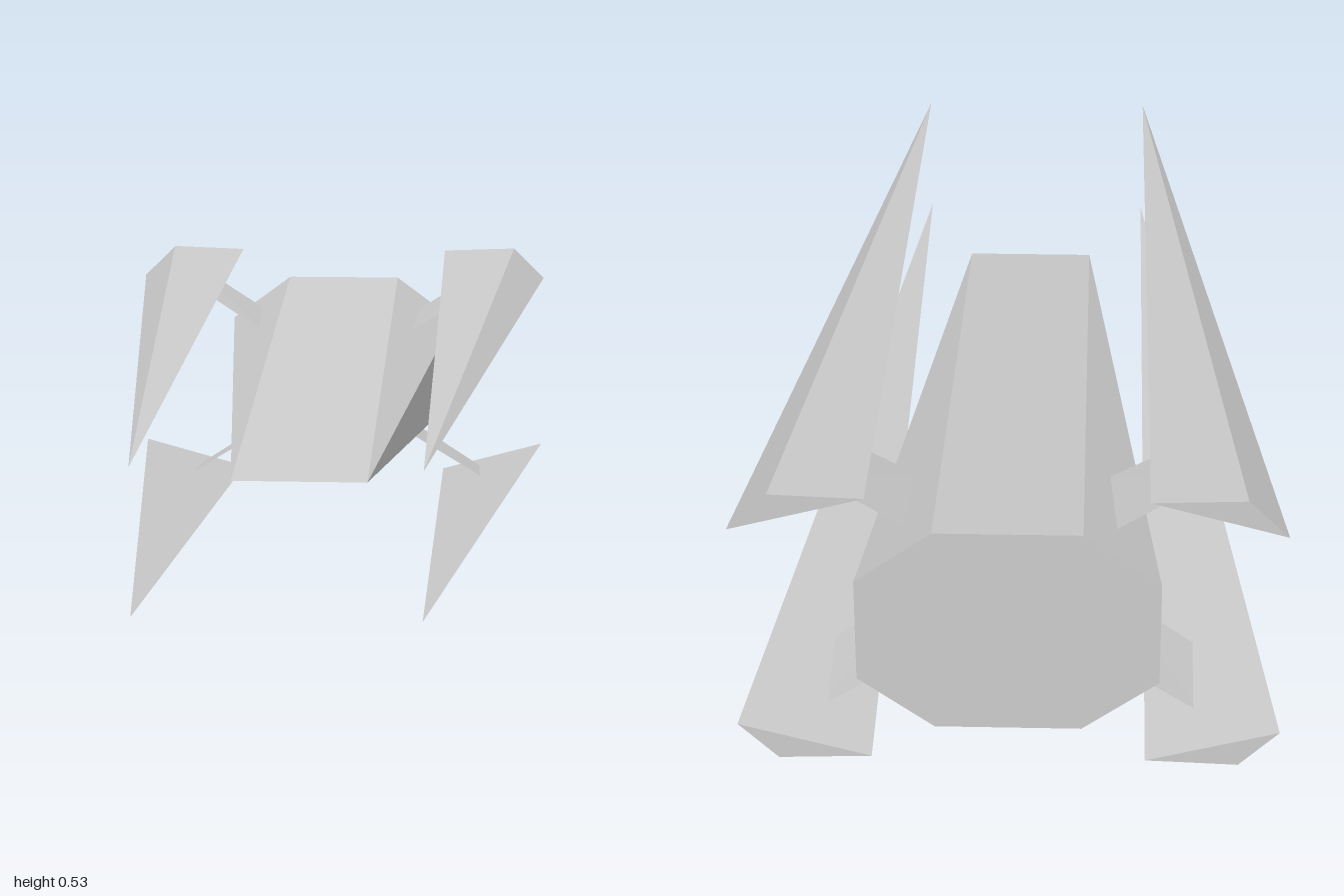
import * as THREE from 'three';
import { ConvexGeometry } from 'three/addons/geometries/ConvexGeometry.js';

const MID_Y = 0.267; // height of the horizontal symmetry plane

export function createModel() {
  const group = new THREE.Group();
  const solidMaterial = new THREE.MeshStandardMaterial({ color: 0xcccccc, flatShading: true });
  const plateMaterial = new THREE.MeshStandardMaterial({
    color: 0xcccccc, flatShading: true, side: THREE.DoubleSide,
  });

  function add(name, geometry, material) {
    const mesh = new THREE.Mesh(geometry, material);
    mesh.name = name;
    group.add(mesh);
  }

  // Place a point, given relative to the symmetry plane, in one of the four quadrants
  const place = ([x, y, z], sx, sy) => new THREE.Vector3(x * sx, MID_Y + y * sy, z);

  // Profiles of the upper quadrant with positive x: [x, height above mid plane, z]
  const hullPoints = [[0.127, 0.196, -1], [0.26, 0.098, -1], [0.127, 0, 0.47]];
  const spikePoints = [[0.238, 0.261, -1], [0.4, 0.267, -1], [0.47, 0.198, -1], [0.245, 0.128, 1]];
  const strutPoints = [
    [0.165, 0.114, -0.673], [0.345, 0.228, -0.7],
    [0.345, 0.243, -0.885], [0.175, 0.133, -0.885],
  ];

  const hullCorners = [];
  for (const sy of [1, -1]) {
    for (const sx of [1, -1]) {
      const label = (sy > 0 ? 'upper' : 'lower') + (sx > 0 ? 'Left' : 'Right');
      hullCorners.push(...hullPoints.map((p) => place(p, sx, sy)));

      // Long three-sided spike with a flat rear end
      add(label + 'Spike', new ConvexGeometry(spikePoints.map((p) => place(p, sx, sy))), solidMaterial);

      // Thin plate joining the spike to the hull
      const plate = new THREE.BufferGeometry().setFromPoints(strutPoints.map((p) => place(p, sx, sy)));
      plate.setIndex(sx * sy > 0 ? [0, 2, 1, 0, 3, 2] : [0, 1, 2, 0, 2, 3]);
      plate.computeVertexNormals();
      add(label + 'Strut', plate, plateMaterial);
    }
  }

  // Octagonal rear tapering to a horizontal front edge (shared front corners are kept once)
  const unique = hullCorners.filter((p, i) => hullCorners.findIndex((q) => q.distanceTo(p) < 1e-6) === i);
  add('hull', new ConvexGeometry(unique), solidMaterial);

  return group;
}
